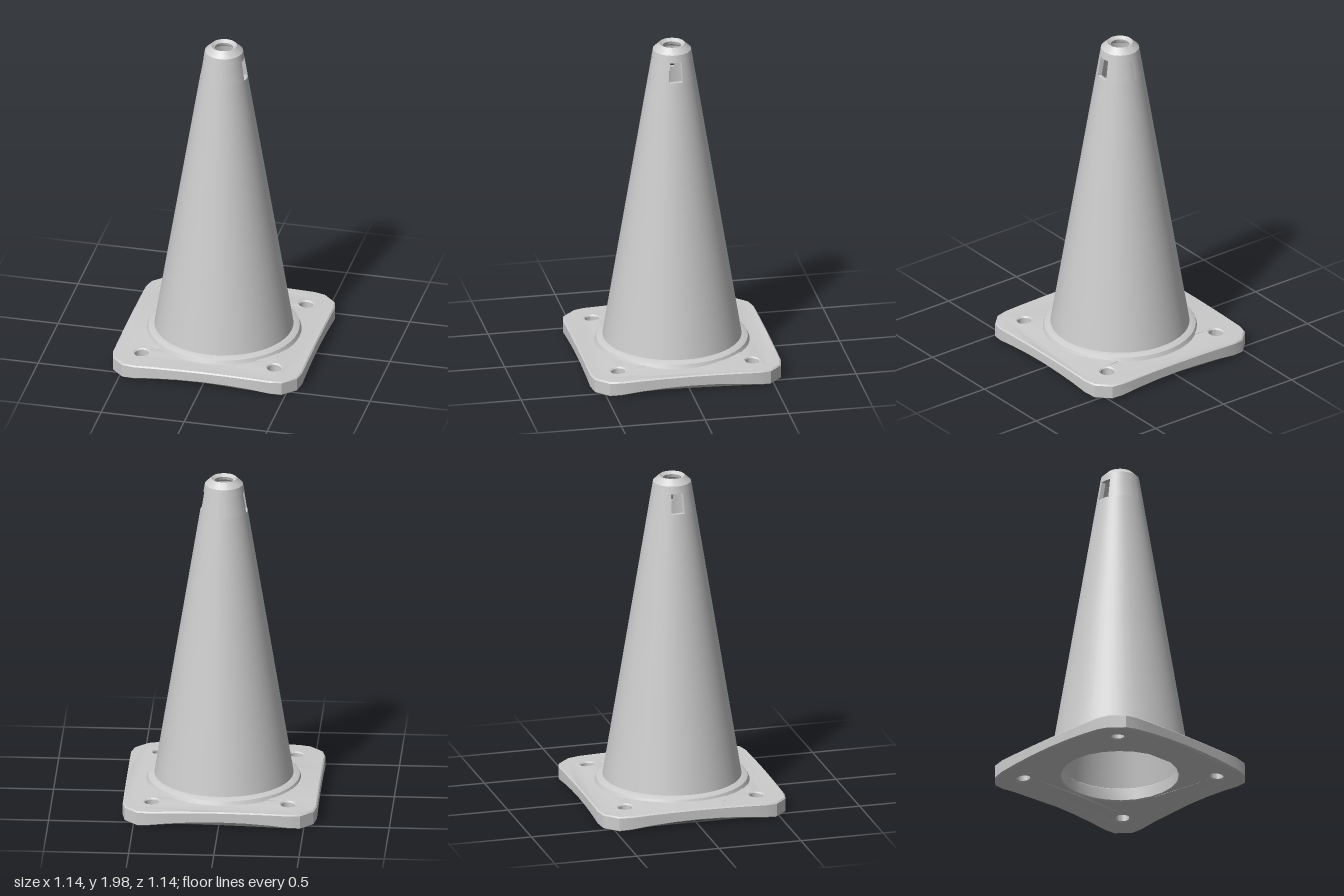
import * as THREE from 'three';
import { toCreasedNormals } from 'three/addons/utils/BufferGeometryUtils.js';

const HALF = 0.57, SLOT_LOW = 1.8, SLOT_HIGH = 1.92, SLOT_ANGLE = 0.3, WALL = 0.025;

// Radii of the thin tapering wall at height y
const outer = (y) => 0.408 - 0.163 * (y - 0.15);
const inner = (y) => outer(y) - WALL;

export function createModel() {
  const model = new THREE.Group();
  const grey = new THREE.MeshStandardMaterial({ color: 0xcccccc, side: THREE.DoubleSide });
  grey.name = 'light grey';

  const add = (name, geometry) => {
    const mesh = new THREE.Mesh(geometry, grey);
    mesh.name = name;
    model.add(mesh);
  };
  const lathe = (name, points, start = 0, length = Math.PI * 2) => {
    const segments = Math.max(6, Math.round((length / (Math.PI * 2)) * 48));
    const profile = points.map(([r, y]) => new THREE.Vector2(r, y));
    add(name, toCreasedNormals(new THREE.LatheGeometry(profile, segments, start, length), 0.6));
  };

  // Square foot with rounded corners, a wide centre opening and four bolt holes
  const quarter = [
    [HALF, 0], [HALF, 0.15], [HALF, 0.29], [HALF, 0.41], [0.555, 0.48],
    [0.48, 0.555], [0.41, HALF], [0.29, HALF], [0.15, HALF],
  ];
  const outline = [];
  for (let i = 0; i < 4; i++) {
    const c = Math.round(Math.cos(i * Math.PI / 2)), s = Math.round(Math.sin(i * Math.PI / 2));
    for (const [x, y] of quarter) outline.push(new THREE.Vector2(x * c - y * s, x * s + y * c));
  }
  const foot = new THREE.Shape(outline);
  const addHole = (x, y, r) => foot.holes.push(new THREE.Path().absarc(x, y, r, 0, Math.PI * 2, true));
  addHole(0, 0, 0.345);
  for (const x of [-0.4, 0.4]) for (const y of [-0.4, 0.4]) addHole(x, y, 0.04);
  const footGeometry = new THREE.ExtrudeGeometry(foot, {
    depth: 0.055, curveSegments: 12,
    bevelEnabled: true, bevelThickness: 0.007, bevelSize: 0.008, bevelOffset: -0.008, bevelSegments: 1,
  });
  footGeometry.rotateX(-Math.PI / 2).translate(0, 0.054, 0);
  // The foot droops towards its corners, and its top rises towards the cone
  const p = footGeometry.attributes.position;
  for (let i = 0; i < p.count; i++) {
    const x = p.getX(i), y = p.getY(i), z = p.getZ(i);
    const droop = (x * z) ** 2;
    const lift = y < 0.08 ? -0.45 * droop : 0.07 * Math.max(0, HALF - Math.hypot(x, z)) - 0.15 * droop;
    p.setY(i, y + lift);
  }
  add('foot', toCreasedNormals(footGeometry, 0.5));

  // Raised collar where the cone meets the foot
  lathe('collar', [[0.455, 0.115], [0.445, 0.138], [0.42, 0.15], [0.39, 0.154]]);

  // Cone below the slots, both faces of the wall
  lathe('coneOuterWall', [[outer(0.12), 0.12], [outer(1), 1], [outer(SLOT_LOW), SLOT_LOW]]);
  lathe('coneInnerWall', [[inner(SLOT_LOW), SLOT_LOW], [inner(1), 1], [inner(0.12), 0.12]]);

  // Band broken by a slot on each side
  for (const side of [1, -1]) {
    const middle = side * Math.PI / 2;
    const start = middle + SLOT_ANGLE, length = Math.PI - 2 * SLOT_ANGLE;
    lathe('slotBandOuter', [[outer(SLOT_LOW), SLOT_LOW], [outer(SLOT_HIGH), SLOT_HIGH]], start, length);
    lathe('slotBandInner', [[inner(SLOT_HIGH), SLOT_HIGH], [inner(SLOT_LOW), SLOT_LOW]], start, length);
    // Sill, lintel and jambs of the slot
    for (const y of [SLOT_LOW, SLOT_HIGH]) {
      lathe('slotSill', [[outer(y), y], [inner(y), y]], middle - SLOT_ANGLE, 2 * SLOT_ANGLE);
    }
    for (const edge of [-SLOT_ANGLE, SLOT_ANGLE]) {
      const jamb = new THREE.Shape([
        new THREE.Vector2(inner(SLOT_LOW), SLOT_LOW), new THREE.Vector2(outer(SLOT_LOW), SLOT_LOW),
        new THREE.Vector2(outer(SLOT_HIGH), SLOT_HIGH), new THREE.Vector2(inner(SLOT_HIGH), SLOT_HIGH),
      ]);
      add('slotJamb', new THREE.ShapeGeometry(jamb).rotateY(middle + edge - Math.PI / 2));
    }
  }

  // Tip with a chamfered rim around the open top
  lathe('tip', [
    [outer(SLOT_HIGH), SLOT_HIGH], [outer(1.965), 1.965], [0.075, 2], [0.054, 1.985],
    [0.06, 1.965], [inner(1.945), 1.945], [inner(SLOT_HIGH), SLOT_HIGH],
  ]);
  return model;
}
